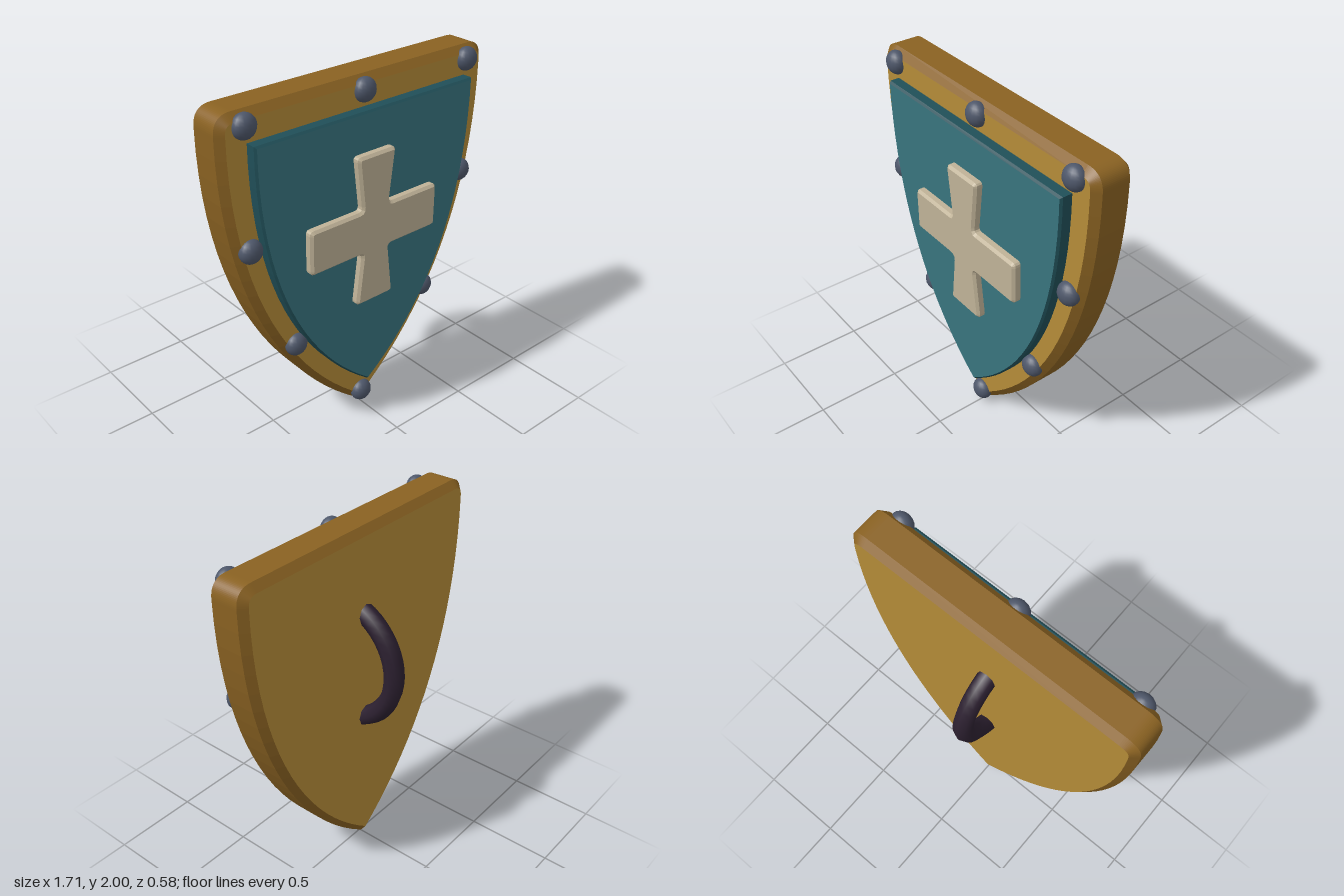
import * as THREE from 'three';

const mat = (name, color) => {
  const m = new THREE.MeshStandardMaterial({ color });
  m.name = name;
  return m;
};

// Heater shield outline; r rounds the top corners, s scales, y lifts the tip
function shieldShape(r, s, y) {
  const w = 0.855, h = 2, p = (a, b) => [a * s, b * s + y];
  const shape = new THREE.Shape();
  shape.moveTo(...p(0, 0));
  shape.bezierCurveTo(...p(0.56, 0.42), ...p(0.87, 1.1), ...p(w, h - r));
  if (r) shape.quadraticCurveTo(...p(w, h), ...p(w - r, h));
  shape.lineTo(...p(r - w, h));
  if (r) shape.quadraticCurveTo(...p(-w, h), ...p(-w, h - r));
  shape.bezierCurveTo(...p(-0.87, 1.1), ...p(-0.56, 0.42), ...p(0, 0));
  return shape;
}

// Bevelled slab between z0 and z1 whose bevel stays inside the outline
function slab(shape, z0, z1, bevel, thick) {
  const g = new THREE.ExtrudeGeometry(shape, {
    depth: z1 - z0 - 2 * thick, bevelEnabled: true, bevelSegments: 1,
    bevelSize: bevel, bevelOffset: -bevel, bevelThickness: thick, curveSegments: 20,
  });
  return g.translate(0, 0, z0 + thick);
}

// Cross with straight side arms and flared upright arms, corners slightly rounded
function crossShape() {
  const quarter = [[0.43, 0.125], [0.09, 0.125], [0.127, 0.43]];
  const mirrored = (sx, sy) => quarter.map(([x, y]) => new THREE.Vector2(x * sx, 1.2 + y * sy));
  const pts = [
    ...mirrored(1, 1), ...mirrored(-1, 1).reverse(),
    ...mirrored(-1, -1), ...mirrored(1, -1).reverse(),
  ];
  const shape = new THREE.Shape();
  pts.forEach((p, i) => {
    const prev = pts[(i + pts.length - 1) % pts.length], next = pts[(i + 1) % pts.length];
    const a = p.clone().add(prev.clone().sub(p).setLength(0.025));
    const b = p.clone().add(next.clone().sub(p).setLength(0.025));
    if (i) shape.lineTo(a.x, a.y); else shape.moveTo(a.x, a.y);
    for (const t of [0.33, 0.67, 1]) {
      const q = new THREE.QuadraticBezierCurve(a, p, b).getPoint(t);
      shape.lineTo(q.x, q.y);
    }
  });
  shape.closePath();
  return shape;
}

export function createModel() {
  const group = new THREE.Group();
  group.name = 'shield';
  const gold = mat('gold', 0xb58c38), bronze = mat('bronze edge', 0x8a6222);
  const teal = mat('teal', 0x38747e), darkTeal = mat('dark teal edge', 0x204f58);
  const ivory = mat('ivory', 0xbfb297), steel = mat('steel', 0x4e576a);
  const leather = mat('dark leather', 0x2c2030);

  const add = (name, geometry, material) => {
    const mesh = new THREE.Mesh(geometry, material);
    mesh.name = name;
    group.add(mesh);
    return mesh;
  };

  // Body, raised field and cross
  add('body', slab(shieldShape(0.1, 1, 0), -0.045, 0.185, 0.04, 0.036), [gold, bronze]);
  add('fieldPanel', slab(shieldShape(0, 0.823, 0.197), 0.17, 0.25, 0.01, 0.012), [teal, darkTeal]);
  add('cross', slab(crossShape(), 0.235, 0.295, 0.014, 0.014), ivory);

  // Domed rivets around the rim
  const rivet = new THREE.SphereGeometry(0.065, 16, 12).scale(1, 1, 0.8);
  const spots = [[0, 1.93], [0, 0.085]];
  for (const s of [1, -1]) spots.push([0.715 * s, 1.93], [0.715 * s, 1.285], [0.46 * s, 0.625]);
  for (const [x, y] of spots) add('rivet', rivet, steel).position.set(x, y, 0.186);

  // Curved grip on the back
  const grip = new THREE.TorusGeometry(0.364, 0.056, 8, 24, Math.PI);
  grip.rotateZ(Math.PI / 2).rotateY(-Math.PI / 2);
  add('grip', grip, leather).position.set(0, 1.2, 0.13);

  return group;
}
